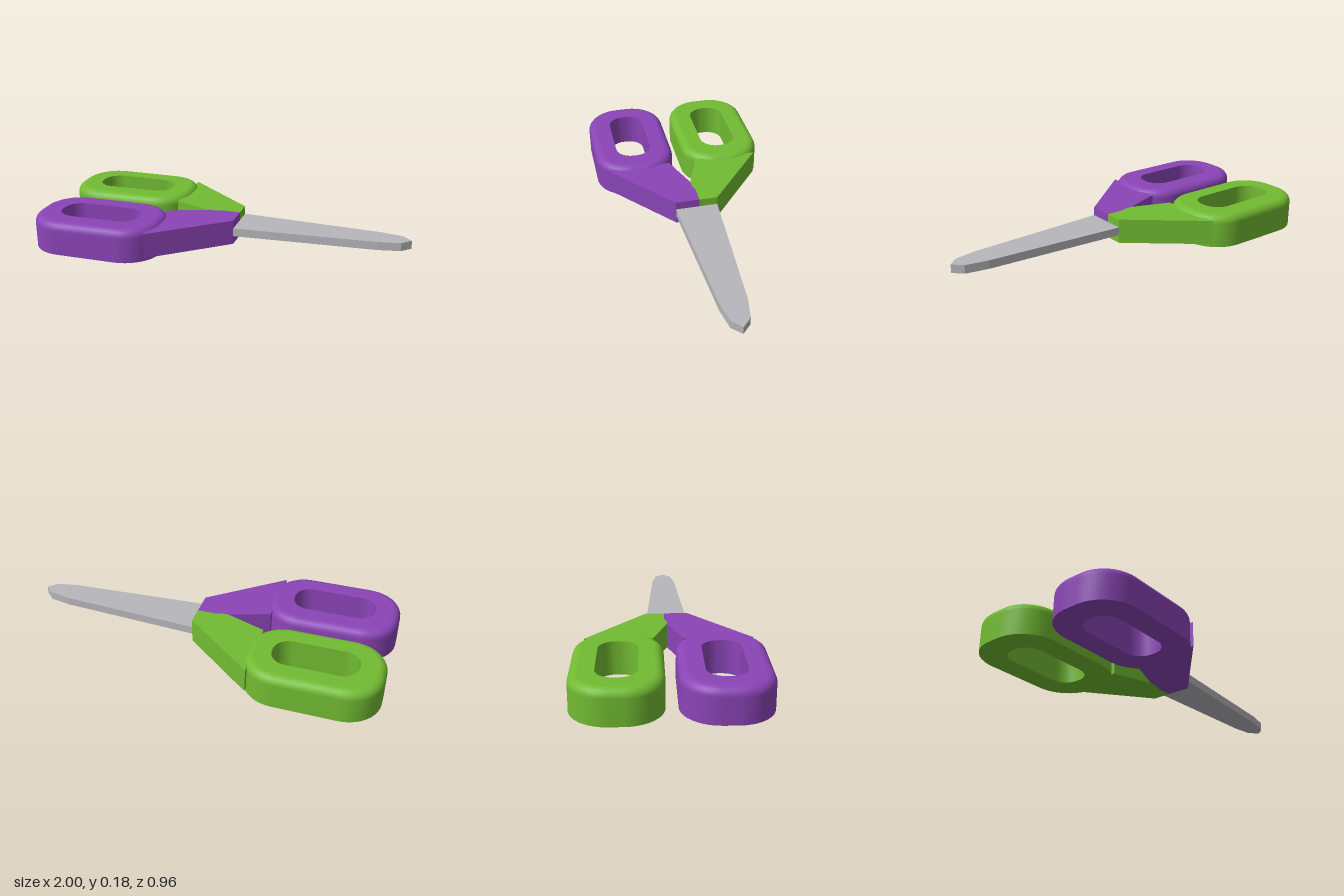
import * as THREE from 'three';

// Points of a rounded rectangle around the origin, counter-clockwise
function roundedRect(w, d, r, seg = 10) {
  const pts = [];
  const corners = [[1, 1], [-1, 1], [-1, -1], [1, -1]];
  corners.forEach(([sx, sy], k) => {
    for (let i = 0; i <= seg; i++) {
      const a = (k + i / seg) * Math.PI / 2;
      pts.push(new THREE.Vector2(sx * (w / 2 - r) + r * Math.cos(a), sy * (d / 2 - r) + r * Math.sin(a)));
    }
  });
  return pts;
}

// Smooth wall through stacked loops; each level is { y, pts }
function wall(levels, inward = false) {
  const n = levels[0].pts.length, pos = [], idx = [];
  for (const { y, pts } of levels) for (const p of pts) pos.push(p.x, y, -p.y);
  for (let l = 0; l < levels.length - 1; l++) {
    for (let i = 0; i < n; i++) {
      const a = l * n + i, b = l * n + (i + 1) % n, c = b + n, d = a + n;
      if (inward) idx.push(a, c, b, a, d, c);
      else idx.push(a, b, c, a, c, d);
    }
  }
  const g = new THREE.BufferGeometry();
  g.setAttribute('position', new THREE.Float32BufferAttribute(pos, 3));
  g.setIndex(idx);
  g.computeVertexNormals();
  return g;
}

// Flat ring-shaped face at height y
function cap(outer, inner, y, up) {
  const s = new THREE.Shape(outer);
  s.holes.push(new THREE.Path(inner));
  const g = new THREE.ShapeGeometry(s);
  if (up) g.rotateX(-Math.PI / 2);
  else g.rotateX(Math.PI / 2);
  return g.translate(0, y, 0);
}

// Flat plate from [x, z] points between two heights
function plate(points, y0, y1) {
  const s = new THREE.Shape(points.map(([x, z]) => new THREE.Vector2(x, -z)));
  const g = new THREE.ExtrudeGeometry(s, { depth: y1 - y0, bevelEnabled: false });
  return g.rotateX(-Math.PI / 2).translate(0, y0, 0);
}

export function createModel() {
  const purple = new THREE.MeshStandardMaterial({ name: 'purple plastic', color: 0x8a44b6 });
  const green = new THREE.MeshStandardMaterial({ name: 'green plastic', color: 0x72bb32 });
  const metal = new THREE.MeshStandardMaterial({ name: 'grey metal', color: 0xb6b6bb });
  const model = new THREE.Group();
  model.name = 'scissors';

  const add = (parent, name, geometry, material) => {
    const m = new THREE.Mesh(geometry, material);
    m.name = name;
    parent.add(m);
    return m;
  };

  // Finger ring: flat underneath, rounded along the upper outer edge
  const W = 0.715, D = 0.45, R = 0.19, H = 0.18, B = 0.045;
  const outline = (inset) => roundedRect(W - 2 * inset, D - 2 * inset, R - inset);
  const hole = roundedRect(0.45, 0.2, 0.09);
  const levels = [{ y: 0, pts: outline(0) }];
  for (let i = 0; i <= 6; i++) {
    const a = i / 6 * Math.PI / 2;
    levels.push({ y: H - B + B * Math.sin(a), pts: outline(B * (1 - Math.cos(a))) });
  }
  const outerWall = wall(levels);
  const holeWall = wall([{ y: 0, pts: hole }, { y: H, pts: hole }], true);
  const topFace = cap(outline(B), hole, H, true);
  const bottomFace = cap(outline(0), hole, 0, false);

  function handle(name, side, material, armPoints) {
    const g = new THREE.Group();
    g.name = name;
    const ring = new THREE.Group();
    ring.name = 'fingerRing';
    ring.position.set(-0.6425, 0, side * 0.255);
    add(ring, 'ringOuterWall', outerWall, material);
    add(ring, 'ringHoleWall', holeWall, material);
    add(ring, 'ringTop', topFace, material);
    add(ring, 'ringBottom', bottomFace, material);
    g.add(ring);
    add(g, 'arm', plate(armPoints, 0.025, 0.16), material);
    model.add(g);
  }

  // Handles meet on a line just behind the centre
  handle('frontHandle', 1, purple,
    [[-0.325, 0.435], [0.065, 0.115], [0.065, -0.015], [-0.04, -0.015], [-0.065, -0.003], [-0.11, -0.003], [-0.325, 0.075]]);
  handle('backHandle', -1, green,
    [[-0.325, -0.435], [0.065, -0.115], [0.065, -0.015], [-0.04, -0.015], [-0.065, -0.003], [-0.11, -0.003], [-0.325, -0.08]]);

  // Closed blades with a blunt pointed tip
  const edge = [[0.02, 0.115], [0.065, 0.115], [0.83, 0.07], [0.95, 0.048]];
  const mirrored = edge.map(([x, z]) => [x, -z]).reverse();
  add(model, 'blades', plate([...edge, [1, 0], ...mirrored], 0.07, 0.115), metal);

  return model;
}
